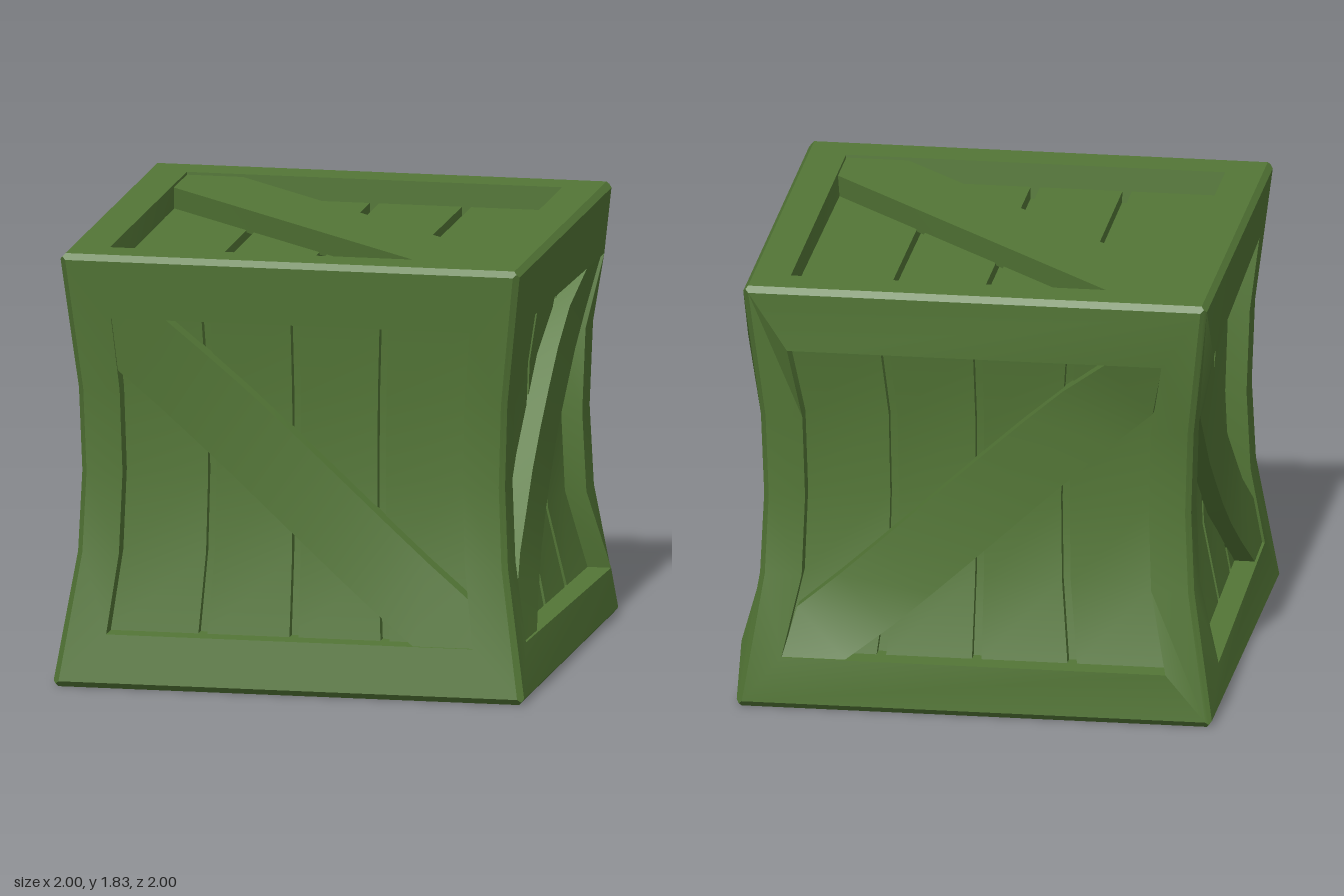
import * as THREE from 'three';
import { toCreasedNormals } from 'three/addons/utils/BufferGeometryUtils.js';

const H = 1.83, CHAMFER = 0.025, RECESS = 0.1, FLOOR = 0.15;
const lerp = THREE.MathUtils.lerp;

// Pinched waist: horizontal scale by height, as straight segments
const WAIST = [[0, 1], [0.56, 0.91], [0.9, 0.895], [1.25, 0.907], [H, 0.975]];
function waist(y) {
  const i = Math.max(1, WAIST.findIndex(p => y <= p[0]));
  const [a, b] = [WAIST[i - 1], WAIST[i]];
  return lerp(a[1], b[1], (y - a[0]) / (b[0] - a[0]));
}

// The ends of the openings flare out towards the back of the crate
function warp(p, inner) {
  let s = waist(p.y);
  if (inner && (p.y < 0.23 || p.y > 1.55)) {
    const t = THREE.MathUtils.clamp(0.5 - p.z / 1.6, 0, 1);
    s = lerp(s, p.y < 0.9 ? 1 : 0.975, t);
  }
  return new THREE.Vector3(p.x * s, p.y, p.z * s);
}

// Collects quads, corners anticlockwise seen from outside
class Surface {
  constructor() { this.pos = []; }
  tri(a, b, c) {
    const n = b.clone().sub(a).cross(c.clone().sub(a));
    if (n.length() > 1e-8) for (const p of [a, b, c]) this.pos.push(p.x, p.y, p.z);
  }
  quad(a, b, c, d) { this.tri(a, b, c); this.tri(a, c, d); }
  mesh(name, material) {
    const g = new THREE.BufferGeometry();
    g.setAttribute('position', new THREE.Float32BufferAttribute(this.pos, 3));
    const m = new THREE.Mesh(toCreasedNormals(g, 0.45), material);
    m.name = name;
    return m;
  }
}

// Each face: place(u, v, depth) gives the point before the waist is applied
const FACES = [
  { name: 'front', place: (u, v, d) => [u, v, 1 - d] },
  { name: 'back', place: (u, v, d) => [-u, v, d - 1], mirror: true },
  { name: 'left', place: (u, v, d) => [1 - d, v, -u], mirror: true },
  { name: 'right', place: (u, v, d) => [d - 1, v, u] },
  { name: 'top', place: (u, v, d) => [u, H - d, -v], flat: true },
  { name: 'bottom', place: (u, v, d) => [u, d, v], flat: true, mirror: true },
];

function buildFace(face, material) {
  const group = new THREE.Group();
  group.name = face.name + 'Side';
  const at = (u, v, d, inner) => warp(new THREE.Vector3(...face.place(u, v, d)), inner);

  // Extents of the face and of its opening
  const [low, high] = face.flat ? [-1, 1] : [0, H];
  const U = face.flat ? 0.815 : 0.805;
  const [v0, v1] = face.flat ? [-U, U] : [0.225, 1.56];
  const mids = face.flat ? [-0.35, 0, 0.35] : [0.56, 0.9, 1.25];

  // Frame: edge chamfer, flat rim and the walls of the opening
  const ring = (u, a, b, d, inner) => {
    const rows = [a, ...mids, b];
    return [...rows.map(v => at(u, v, d, inner)),
      ...rows.reverse().map(v => at(-u, v, d, inner))];
  };
  const edge = (c, d) => ring(1 - c, low + c, high - c, d, false);
  const rings = [edge(CHAMFER / 2, CHAMFER / 2), edge(CHAMFER, 0),
    ring(U, v0, v1, 0, true), ring(U, v0, v1, FLOOR, true)];
  const frame = new Surface();
  for (let k = 0; k < 3; k++) {
    const a = rings[k], b = rings[k + 1];
    a.forEach((p, i) => {
      const j = (i + 1) % a.length;
      frame.quad(p, a[j], b[j], b[i]);
    });
  }
  group.add(frame.mesh('frame', material));

  // Solid board between a left and a right rail of [u, v] points
  const slab = (name, L, R, top, under) => {
    const s = new Surface();
    const pts = (rail, d) => rail.map(([u, v]) => at(u, v, d, true));
    const [l, r, lu, ru] = [pts(L, top), pts(R, top), pts(L, under), pts(R, under)];
    const n = L.length - 1;
    for (let i = 0; i < n; i++) {
      s.quad(l[i], r[i], r[i + 1], l[i + 1]);
      s.quad(r[i], ru[i], ru[i + 1], r[i + 1]);
      s.quad(l[i + 1], lu[i + 1], lu[i], l[i]);
    }
    s.quad(lu[0], ru[0], r[0], l[0]);
    s.quad(l[n], r[n], ru[n], lu[n]);
    group.add(s.mesh(name, material));
  };
  const rows = [v0, ...mids, v1];
  const upright = u => rows.map(v => [u, v]);

  // Four planks with narrow gaps, and a backing seen through the gaps
  const gaps = [-U, -0.4, 0, 0.4, U];
  for (let i = 0; i < 4; i++) {
    slab('plank', upright(gaps[i] + (i > 0 ? 0.02 : 0)),
      upright(gaps[i + 1] - (i < 3 ? 0.02 : 0)), RECESS, FLOOR + 0.01);
  }
  slab('backing', upright(-U), upright(U), FLOOR, FLOOR + 0.03);

  // Diagonal brace with ends cut to fit the corners of the opening
  const side = (from, to) => {
    const rail = [[-1, 1]];
    for (let i = 0; i <= 8; i++) {
      rail.push([lerp(from[0], to[0], i / 8), lerp(from[1], to[1], i / 8)]);
    }
    rail.push([1, -1]);
    return rail.map(([a, b]) =>
      [(face.mirror ? -a : a) * U, lerp(v0, v1, (b + 1) / 2)]);
  };
  const rails = [side([-0.7, 1], [1, -0.7]), side([-1, 0.66], [0.67, -1])];
  if (face.mirror) rails.reverse();
  slab('diagonalBrace', rails[0], rails[1], 0.012, RECESS + 0.01);
  return group;
}

export function createModel() {
  const crate = new THREE.Group();
  crate.name = 'crate';
  const material = new THREE.MeshStandardMaterial({ color: 0x537636 });
  for (const face of FACES) crate.add(buildFace(face, material));
  return crate;
}
